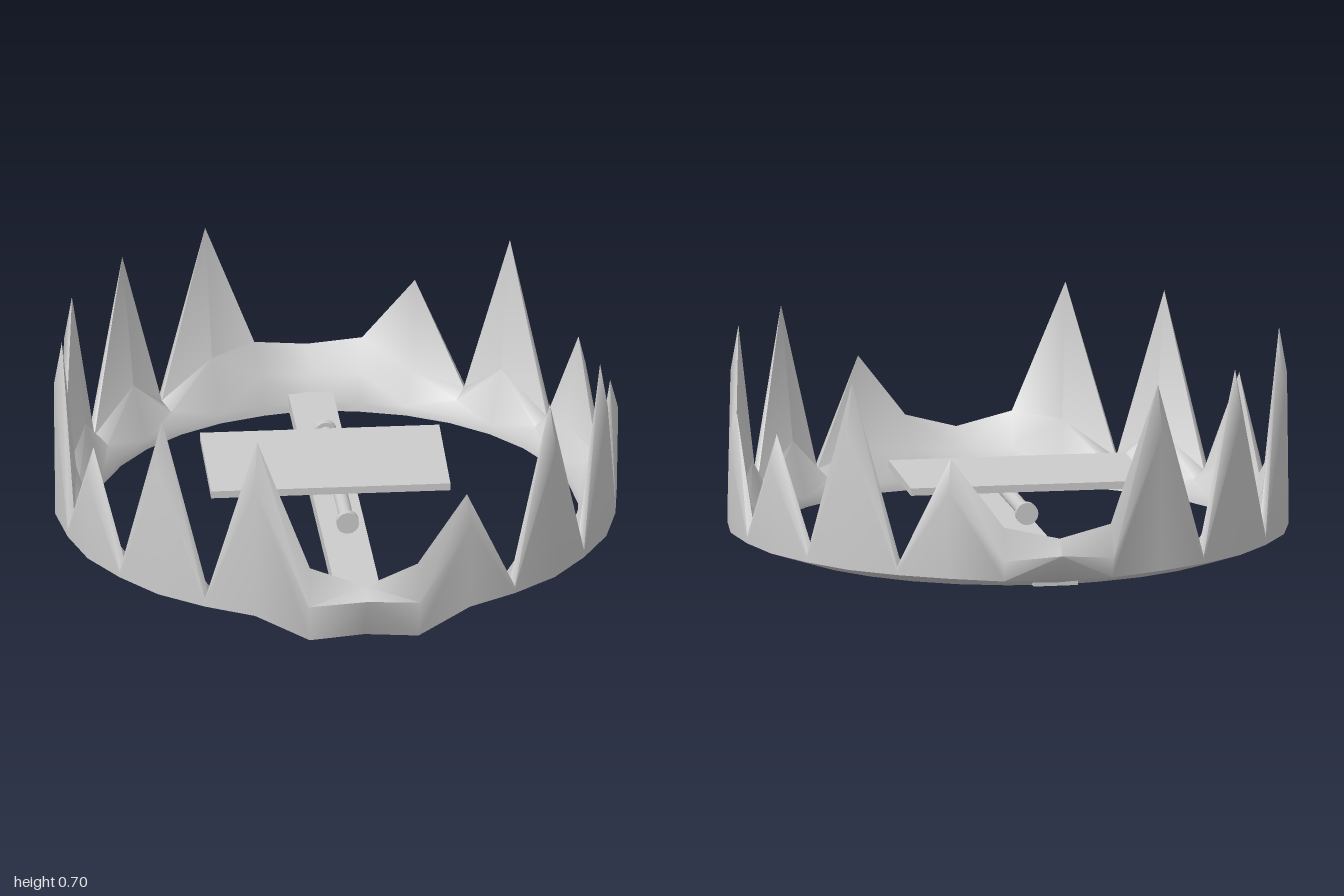
import * as THREE from 'three';
import { toCreasedNormals } from 'three/addons/utils/BufferGeometryUtils.js';

const STATIONS = 32; // even stations carry teeth, odd ones the valleys between
const TALL = 0.705, SHORT = 0.48;

// Tooth heights counter-clockwise from the front hinge; null marks a hinge
const TEETH = [null, SHORT, TALL, TALL, SHORT, SHORT, TALL, SHORT,
  null, TALL, TALL, TALL, TALL, SHORT, TALL, TALL];

// Cross-sections as [radius, height]: inner foot, outer foot, outer face, crest, inner face, inner lip
const toothSection = h => [[0.81, 0.03], [0.94, 0.075], [0.945, h * 0.78], [0.918, h], [0.87, h * 0.35], [0.815, 0.06]];
const valleySection = [[0.81, 0.03], [0.935, 0.075], [0.935, 0.1], [0.91, 0.12], [0.86, 0.095], [0.815, 0.055]];
const hinge = {
  frontTip: [[0.80, 0.03], [0.93, 0.02], [1.0, 0.17], [0.95, 0.205], [0.86, 0.14], [0.80, 0.06]],
  frontSide: [[0.80, 0.03], [0.935, 0.0], [0.955, 0.13], [0.925, 0.26], [0.86, 0.15], [0.805, 0.06]],
  backTip: [[0.82, 0.03], [0.935, 0.07], [1.0, 0.165], [0.95, 0.215], [0.87, 0.14], [0.82, 0.06]],
  backSide: [[0.81, 0.03], [0.94, 0.07], [0.955, 0.14], [0.925, 0.25], [0.86, 0.15], [0.815, 0.06]],
};

function sectionAt(i) {
  if (i === 0) return hinge.frontTip;
  if (i === 16) return hinge.backTip;
  if (i === 1 || i === 31) return hinge.frontSide;
  if (i === 15 || i === 17) return hinge.backSide;
  return i % 2 ? valleySection : toothSection(TEETH[i / 2]);
}

// Closed loop of cross-sections around the vertical axis
function jawGeometry() {
  const positions = [], index = [], n = 6;
  for (let i = 0; i < STATIONS; i++) {
    const a = (i / STATIONS) * Math.PI * 2;
    for (const [r, y] of sectionAt(i)) positions.push(r * Math.sin(a), y, r * Math.cos(a));
    const next = (i + 1) % STATIONS;
    for (let j = 0; j < n; j++) {
      const k = (j + 1) % n;
      const p = i * n + j, q = next * n + j, r = next * n + k, s = i * n + k;
      // Run the diagonal from valley to crest so teeth stay symmetrical
      if (i % 2) index.push(p, q, r, p, r, s);
      else index.push(p, q, s, q, r, s);
    }
  }
  const g = new THREE.BufferGeometry();
  g.setAttribute('position', new THREE.Float32BufferAttribute(positions, 3));
  g.setIndex(index);
  return toCreasedNormals(g, 1.0);
}

export function createModel() {
  const group = new THREE.Group();
  group.name = 'jawTrap';
  const material = new THREE.MeshStandardMaterial({ color: 0xcccccc });
  const add = (name, geometry, x, y, z) => {
    const mesh = new THREE.Mesh(geometry, material);
    mesh.name = name;
    mesh.position.set(x, y, z);
    group.add(mesh);
    return mesh;
  };

  // Toothed ring with a pointed hinge at front and back
  add('toothedJaws', jawGeometry(), 0, 0, 0);

  // Flat bar across the base
  add('baseBar', new THREE.BoxGeometry(0.15, 0.05, 1.78), 0, 0.065, 0.01);

  // Trigger plate
  const plate = add('triggerPlate', new THREE.BoxGeometry(0.8, 0.025, 0.465), -0.038, 0.233, 0.018);
  plate.rotation.y = -0.022;

  // Pivot pin under the plate with a head at each end
  const pin = add('pivotPin', new THREE.CylinderGeometry(0.024, 0.024, 0.71, 16), 0, 0.175, 0.018);
  pin.rotation.x = Math.PI / 2;
  for (const [name, z] of [['frontPinHead', 0.375], ['backPinHead', -0.34]]) {
    const head = add(name, new THREE.CylinderGeometry(0.038, 0.038, 0.025, 16), 0, 0.175, z);
    head.rotation.x = Math.PI / 2;
  }

  group.rotation.y = 0.052;
  const root = new THREE.Group();
  root.name = 'trap';
  root.add(group);
  return root;
}
